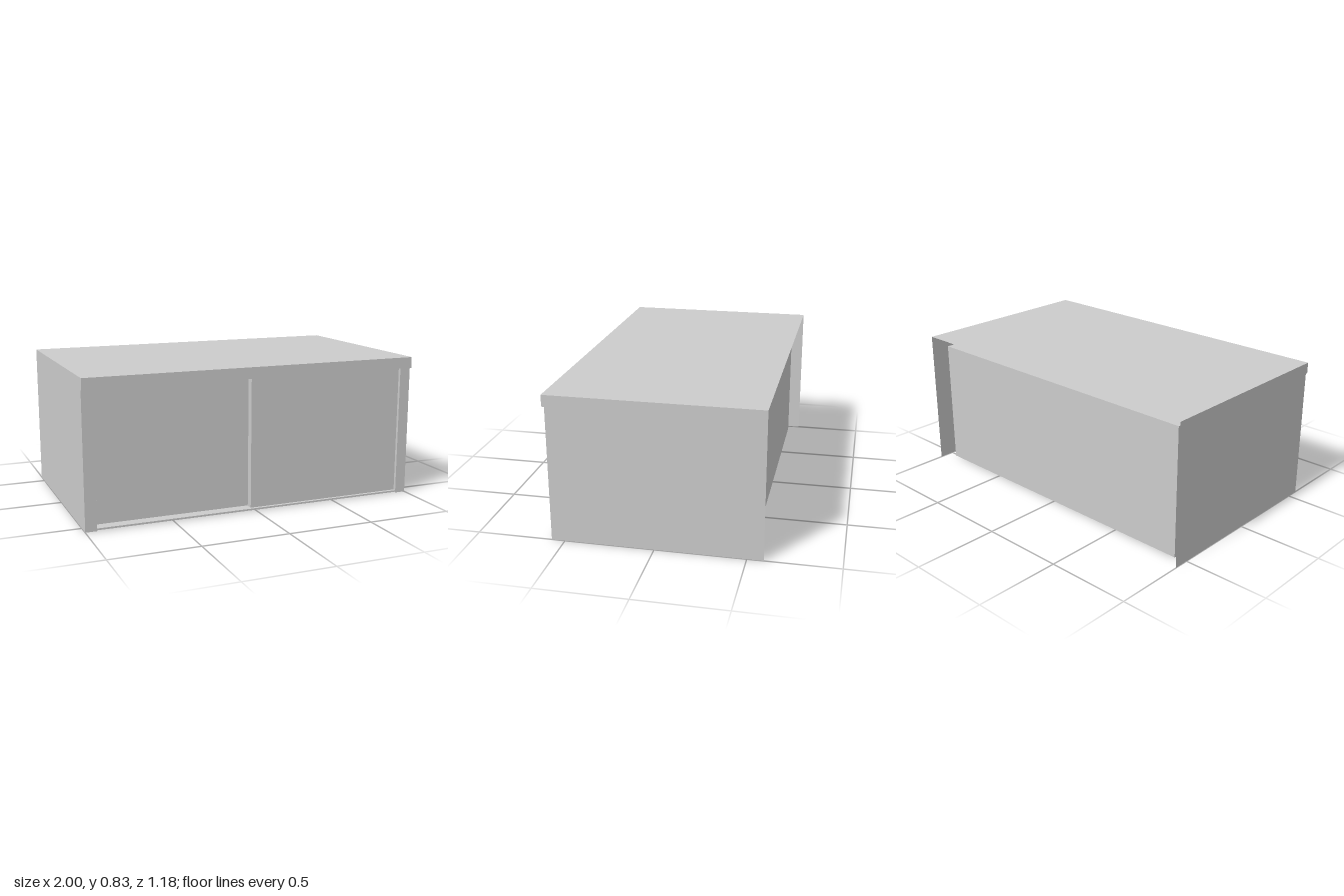
import * as THREE from 'three';

// Overall limits of the cabinet
const W = 1, TOP = 0.835, UNDER = 0.77, BACK = -0.59, LIP = 0.59, FRONT = 0.575;
// Inner box set inside the outer shell
const IN = 0.935, IN_BACK = -0.52, IN_BASE = 0.005, FLOOR = 0.015;

export function createModel() {
  const group = new THREE.Group();
  const material = new THREE.MeshStandardMaterial({ color: 0xcccccc, side: THREE.DoubleSide, flatShading: true });

  const add = (name, geometry) => {
    const mesh = new THREE.Mesh(geometry, material);
    mesh.name = name;
    group.add(mesh);
    return mesh;
  };
  // Solid board between two corners
  const board = (name, x0, x1, y0, y1, z0, z1) =>
    add(name, new THREE.BoxGeometry(x1 - x0, y1 - y0, z1 - z0))
      .position.set((x0 + x1) / 2, (y0 + y1) / 2, (z0 + z1) / 2);
  // Thin sheets facing up, front and sideways
  const level = (name, x0, x1, z0, z1, y) =>
    add(name, new THREE.PlaneGeometry(x1 - x0, z1 - z0).rotateX(-Math.PI / 2))
      .position.set((x0 + x1) / 2, y, (z0 + z1) / 2);
  const upright = (name, x0, x1, y0, y1, z) =>
    add(name, new THREE.PlaneGeometry(x1 - x0, y1 - y0))
      .position.set((x0 + x1) / 2, (y0 + y1) / 2, z);
  const sideSheet = (name, points, x) =>
    add(name, new THREE.ShapeGeometry(new THREE.Shape(points.map(([z, y]) => new THREE.Vector2(z, y))))
      .rotateY(-Math.PI / 2)).position.x = x;

  // Top with its overhanging front edge
  level('top', -W, W, BACK, LIP, TOP);
  upright('topFrontEdge', -W, W, UNDER, TOP, LIP);
  level('topOverhang', -W, W, FRONT, LIP, UNDER);

  // Mirrored outer sides, front stiles and inner walls
  const outer = [[BACK, 0], [FRONT, 0], [FRONT, UNDER], [LIP, UNDER], [LIP, TOP], [BACK, TOP]];
  const inner = [[IN_BACK, IN_BASE], [FRONT, IN_BASE], [FRONT, UNDER], [IN_BACK, UNDER]];
  for (const [side, s] of [['left', 1], ['right', -1]]) {
    sideSheet(side + 'Side', outer, s * W);
    sideSheet(side + 'InnerWall', inner, s * IN);
    upright(side + 'FrontStile', Math.min(s * IN, s * W), Math.max(s * IN, s * W), 0, UNDER, FRONT);
  }

  // Inner box: back, ceiling and floor
  upright('backPanel', -IN, IN, IN_BASE, UNDER, IN_BACK);
  level('ceiling', -IN, IN, IN_BACK, FRONT, UNDER);
  board('floor', -IN, IN, IN_BASE, FLOOR, IN_BACK, FRONT);

  // Sliding doors on two tracks, the right one behind
  board('leftDoor', -0.027, IN, FLOOR, UNDER, 0.515, 0.557);
  board('rightDoor', -IN, 0.027, FLOOR, UNDER, 0.47, 0.51);

  return group;
}
